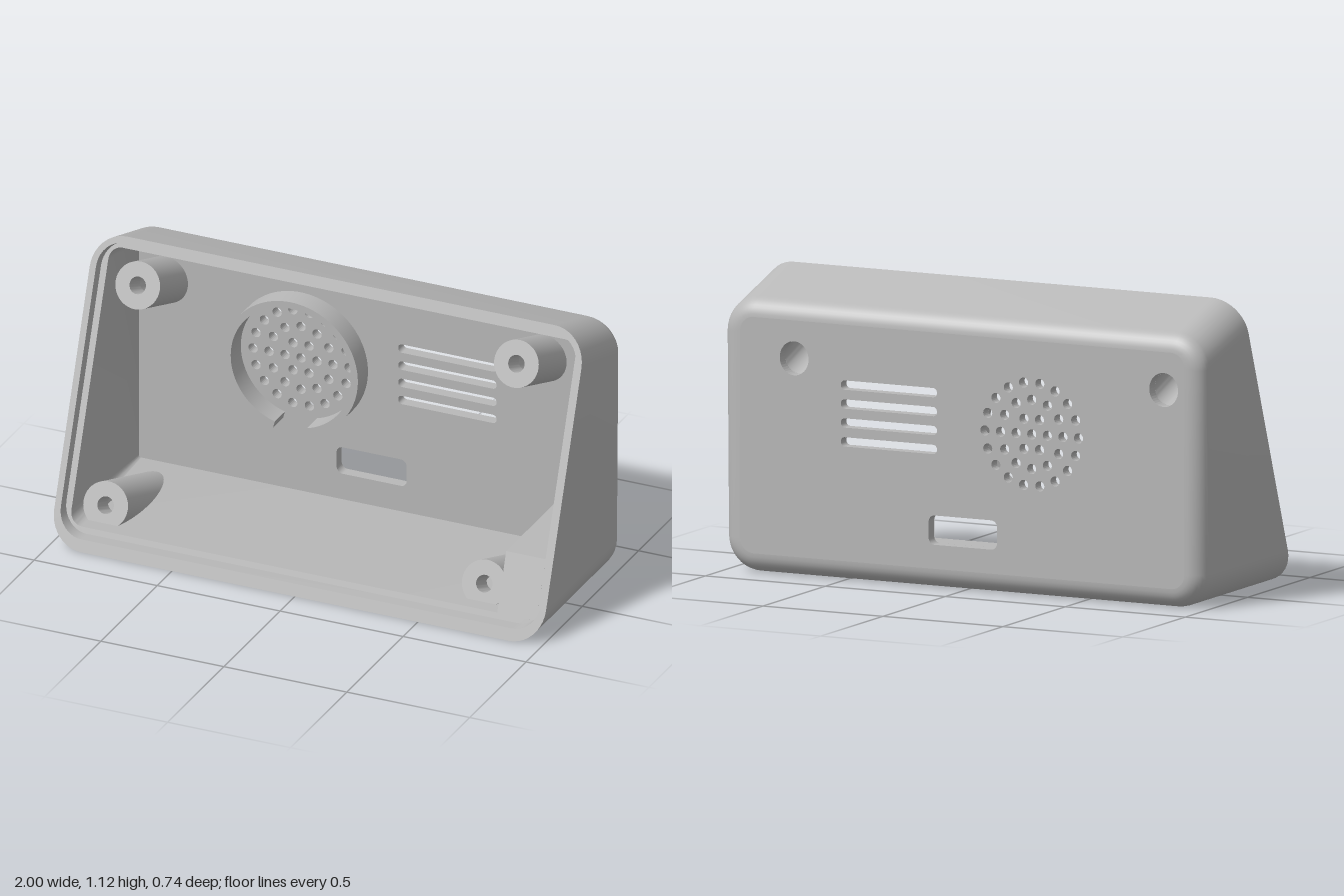
import * as THREE from 'three';
import { toCreasedNormals } from 'three/addons/utils/BufferGeometryUtils.js';

const BACK = -0.365, INNER = -0.32;           // outer and inner faces of the back wall
const V = (x, y, z) => new THREE.Vector3(x, y, z);

// Skin between successive closed rings; openAt = ring index whose closing quad is left out
function loft(rings, openAt = -1) {
  const n = rings[0].length, index = [];
  for (let k = 0; k < rings.length - 1; k++) {
    for (let i = 0; i < n; i++) {
      if (k === openAt && i === n - 1) continue;
      const j = (i + 1) % n, a = k * n, b = a + n;
      index.push(a + i, a + j, b + j, a + i, b + j, b + i);
    }
  }
  const g = new THREE.BufferGeometry().setFromPoints(rings.flat());
  g.setIndex(index);
  return toCreasedNormals(g, 0.5);
}

// Rounded rectangle whose lower edge is at (yb, zb) and upper edge at (yt, zt)
function rectRing(hw, yb, zb, yt, zt, r) {
  const pts = [], steps = 10;
  const corners = [[hw - r, yb + r], [hw - r, yt - r], [r - hw, yt - r], [r - hw, yb + r]];
  corners.forEach(([cx, cy], q) => {
    for (let i = 0; i <= steps; i++) {
      const a = (q - 1 + i / steps) * Math.PI / 2;
      const y = cy + r * Math.sin(a);
      pts.push(V(cx + r * Math.cos(a), y, zb + (zt - zb) * (y - yb) / (yt - yb)));
    }
  });
  return pts;
}

// Rounded rectangle outline centred on (cx, cy)
function roundedRect(P, cx, cy, w, h, r) {
  const p = new P(), x = w / 2 - r, y = h / 2 - r, q = Math.PI / 2;
  p.absarc(cx + x, cy - y, r, -q, 0);
  p.absarc(cx + x, cy + y, r, 0, q);
  p.absarc(cx - x, cy + y, r, q, 2 * q);
  p.absarc(cx - x, cy - y, r, 2 * q, 3 * q);
  p.closePath();
  return p;
}

const circle = (x, y, r) => new THREE.Path().absarc(x, y, r, 0, Math.PI * 2);

// Rings of one tilted screw boss: outer wall, face, screw hole, counterbore
function bossRings(x, upper) {
  const c = upper ? V(x, 0.91, -0.07) : V(x, 0.13, 0.215);
  const dir = V(0, -0.342, -0.94), n = 40;
  const ring = (r, depth) => Array.from({ length: n }, (_, i) => {
    const a = i / n * Math.PI * 2;
    return V(r * Math.cos(a), 0.94 * r * Math.sin(a), -0.342 * r * Math.sin(a))
      .add(c).addScaledVector(dir, depth);
  });
  // run a ring along the axis until it meets the back wall or the floor
  const land = (r, floor) => ring(r, 0).map((p) => {
    p.addScaledVector(dir, upper ? (p.z - INNER) / 0.94 : (p.y - floor) / 0.342);
    if (!upper && floor === 0) { p.x = Math.max(p.x, -0.866); p.z = Math.max(p.z, -0.286); }
    return p;
  });
  return [land(0.09, 0.03), ring(0.09, 0), ring(0.033, 0), ring(0.033, 0.1), ring(0.06, 0.1), land(0.06, 0)];
}

export function createModel() {
  const group = new THREE.Group();
  const grey = new THREE.MeshStandardMaterial({ color: 0xb8b8b8, side: THREE.DoubleSide });
  grey.name = 'light grey plastic';
  const add = (name, geometry) => {
    const m = new THREE.Mesh(geometry, grey);
    m.name = name;
    group.add(m);
    return m;
  };

  // Housing: filleted back edge, outer walls, rim, recessed lip and inner walls
  const r = 0.075, topTurn = 1.262, rings = [];
  for (let i = 0; i <= 8; i++) {
    const a = i / 8 * Math.PI / 2, b = i / 8 * topTurn, inset = r * (1 - Math.sin(a));
    rings.push(rectRing(1 - inset, inset, BACK + r * (1 - Math.cos(a)),
      0.961 + r * Math.sin(b), BACK + r * (1 - Math.cos(b)), 0.13 - inset));
  }
  rings.push(
    rectRing(1, 0, 0.37, 1.12, -0.04, 0.13),
    rectRing(0.975, 0.045, 0.354, 1.095, -0.031, 0.1),
    rectRing(0.975, 0.045, 0.305, 1.08, -0.076, 0.1),
    rectRing(0.95, 0.067, 0.297, 1.055, -0.067, 0.05),
    rectRing(0.95, 0.06, INNER, 0.965, INNER, 0.01));
  add('housing', loft(rings, 8));

  // Screw bosses
  const backHoles = [], bottomHoles = [];
  for (const x of [-0.84, 0.7]) {
    for (const upper of [true, false]) {
      const b = bossRings(x, upper), mouth = b[b.length - 1];
      add(upper ? 'upperBoss' : 'lowerBoss', loft(b));
      const flat = mouth.map((p) => new THREE.Vector2(p.x, upper ? p.y : p.z));
      (upper ? backHoles : bottomHoles).push(new THREE.Path(flat));
    }
  }

  // Speaker holes in rings of 6, 12 and 18
  const sx = -0.29, sy = 0.61;
  backHoles.push(circle(sx, sy, 0.019));
  for (let k = 1; k <= 3; k++) {
    for (let i = 0; i < 6 * k; i++) {
      const a = i / (6 * k) * Math.PI * 2;
      backHoles.push(circle(sx + 0.065 * k * Math.cos(a), sy + 0.065 * k * Math.sin(a), 0.019));
    }
  }
  // Vent slots and cable window
  for (let i = 0; i < 4; i++) backHoles.push(roundedRect(THREE.Path, 0.305, 0.735 - i * 0.071, 0.4, 0.035, 0.016));
  backHoles.push(roundedRect(THREE.Path, -0.003, 0.22, 0.285, 0.11, 0.025));

  // Back wall with its openings, and the wider inner face
  const backShape = roundedRect(THREE.Shape, 0, 0.518, 1.85, 0.886, 0.055);
  backShape.holes = backHoles;
  add('backWall', new THREE.ExtrudeGeometry(backShape, { depth: 0.0445, bevelEnabled: false, curveSegments: 10 }))
    .position.z = BACK;
  const innerShape = roundedRect(THREE.Shape, 0, 0.5125, 1.9, 0.905, 0.01);
  innerShape.holes = backHoles;
  add('innerBackFace', new THREE.ShapeGeometry(innerShape, 10)).position.z = INNER;

  // Underside with counterbores and round foot recesses
  const bottom = new THREE.Shape([[-0.87, -0.29], [0.87, -0.29], [0.87, 0.37], [-0.87, 0.37]]
    .map(([x, z]) => new THREE.Vector2(x, z)));
  bottom.holes = bottomHoles;
  for (const x of [-0.475, 0.475]) {
    for (const z of [-0.21, 0.21]) {
      bottom.holes.push(circle(x, z, 0.067));
      const cup = [[0, 0.025], [0.067, 0.025], [0.067, 0]].map(([u, v]) => new THREE.Vector2(u, v));
      add('footRecess', toCreasedNormals(new THREE.LatheGeometry(cup, 32), 0.5)).position.set(x, 0, z);
    }
  }
  add('underside', new THREE.ShapeGeometry(bottom, 16).rotateX(Math.PI / 2));

  // Open speaker collar with a gap at the bottom
  const collar = new THREE.Shape(), a0 = -1.3, a1 = Math.PI + 1.3;
  collar.absarc(sx, sy, 0.272, a0, a1, false);
  collar.absarc(sx, sy, 0.245, a1, a0, true);
  collar.closePath();
  const collarGeo = new THREE.ExtrudeGeometry(collar, { depth: 0.09, bevelEnabled: false, curveSegments: 48 });
  add('speakerCollar', toCreasedNormals(collarGeo, 0.5)).position.z = INNER;

  // Solid block in the lower corner, its front flush with the lip
  const block = new THREE.Shape([[INNER, 0.05], [0.297, 0.05], [0.297, 0.067], [0.217, 0.285], [INNER, 0.285]]
    .map(([z, y]) => new THREE.Vector2(z, y)));
  add('cornerBlock', new THREE.ExtrudeGeometry(block, { depth: 0.16, bevelEnabled: false })
    .rotateY(-Math.PI / 2).translate(0.95, 0, 0));

  return group;
}
